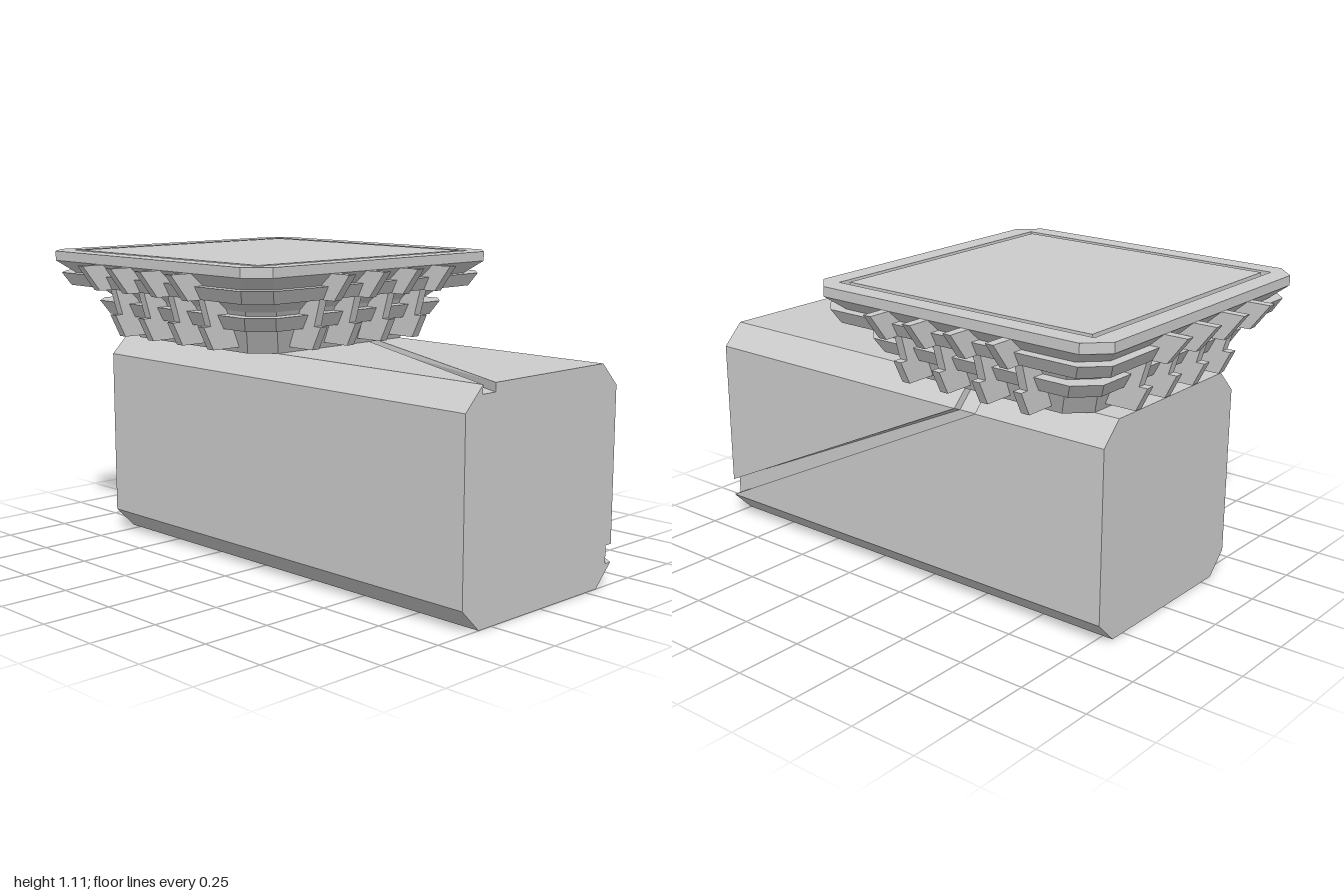
import * as THREE from 'three';

const material = new THREE.MeshStandardMaterial({ color: 0xcccccc, flatShading: true });

// Flat-shaded geometry from a list of four-cornered faces
function quadGeometry(quads) {
  const pos = [];
  for (const [a, b, c, d] of quads) pos.push(...a, ...b, ...c, ...a, ...c, ...d);
  const g = new THREE.BufferGeometry();
  g.setAttribute('position', new THREE.Float32BufferAttribute(pos, 3));
  g.computeVertexNormals();
  return g;
}

function addMesh(parent, name, geometry) {
  const m = new THREE.Mesh(geometry, material);
  m.name = name;
  parent.add(m);
  return m;
}

const shapeOf = (pts) => new THREE.Shape(pts.map(([x, y]) => new THREE.Vector2(x, y)));

// Chamfered block with a groove running diagonally over the left side and top
function buildBody(parent) {
  const front = 1, back = -0.79;
  const atZ = ([x, y], z) => [x, y, z];
  // Groove edges: P/p = rear edge (surface/floor), Q/q = front edge
  const P = [[0.39, 0.08, front], [0.39, 0.7, -0.26], [0.31, 0.78, -0.26], [-0.31, 0.78, front]];
  const p = [[0.36, 0.08, front], [0.36, 0.688, -0.26], [0.298, 0.75, -0.26], [-0.31, 0.75, front]];
  const Q = [[0.39, 0.145, front], [0.39, 0.7, -0.17], [0.31, 0.78, -0.17], [-0.25, 0.78, front]];
  const q = [[0.36, 0.145, front], [0.36, 0.688, -0.17], [0.298, 0.75, -0.17], [-0.25, 0.75, front]];

  const skin = [], groove = [];
  for (let k = 0; k < 3; k++) {
    const n = k + 1;
    skin.push([P[k], atZ(P[k], back), atZ(P[n], back), P[n]]);
    skin.push([Q[k], Q[n], atZ(Q[n], front), atZ(Q[k], front)]);
    groove.push([p[k], p[n], q[n], q[k]], [P[k], P[n], p[n], p[k]], [q[k], q[n], Q[n], Q[k]]);
  }
  // Plain right side and underside
  const rest = [[-0.31, 0.78], [-0.39, 0.7], [-0.39, 0.08], [-0.31, 0], [0.31, 0], [0.39, 0.08]];
  for (let k = 0; k < 5; k++) {
    const a = rest[k], b = rest[k + 1];
    skin.push([atZ(a, front), atZ(a, back), atZ(b, back), atZ(b, front)]);
  }
  addMesh(parent, 'bodySides', quadGeometry(skin));
  addMesh(parent, 'diagonalGroove', quadGeometry(groove));

  // End faces; the front one is notched where the groove runs out
  const notched = [
    [-0.31, 0], [0.31, 0], [0.39, 0.08], [0.36, 0.08], [0.36, 0.145], [0.39, 0.145], [0.39, 0.7],
    [0.31, 0.78], [-0.25, 0.78], [-0.25, 0.75], [-0.31, 0.75], [-0.31, 0.78], [-0.39, 0.7], [-0.39, 0.08],
  ];
  addMesh(parent, 'bodyFrontFace', new THREE.ShapeGeometry(shapeOf(notched))).position.z = front;
  const plain = [...rest, [0.39, 0.7], [0.31, 0.78]];
  const rear = addMesh(parent, 'bodyBackFace', new THREE.ShapeGeometry(shapeOf(plain)));
  rear.rotation.y = Math.PI;
  rear.position.z = back;
}

// Square ring with half width r and corners cut by c
function ring(r, y, c) {
  const s = r - c;
  return [[r, y, -s], [r, y, s], [s, y, r], [-s, y, r], [-r, y, s], [-r, y, -s], [-s, y, -r], [s, y, -r]];
}

function buildHead(parent) {
  const c = 0.075;
  // Half width, height, corner cut: flared neck, two bands, plate, inlaid line
  const profile = [
    [0, 0.78, 0], [0.385, 0.78, c], [0.422, 0.87, c], [0.463, 0.87, c], [0.49, 0.92, c], [0.443, 0.92, c],
    [0.45, 0.935, c], [0.497, 0.978, c], [0.565, 0.978, c], [0.59, 1.025, c], [0.553, 1.025, c],
    [0.605, 1.07, c], [0.605, 1.105, c], [0.53, 1.105, 0], [0.53, 1.085, 0], [0.505, 1.085, 0],
    [0.505, 1.105, 0], [0, 1.105, 0],
  ];
  const rings = profile.map((s) => ring(...s));
  const quads = [];
  for (let i = 0; i < rings.length - 1; i++) {
    for (let j = 0; j < 8; j++) {
      const n = (j + 1) % 8;
      quads.push([rings[i][j], rings[i + 1][j], rings[i + 1][n], rings[i][n]]);
    }
  }
  addMesh(parent, 'flaredHead', quadGeometry(quads));

  // Four stepped fins on each side
  const width = 0.033;
  const outline = [
    [0.38, 0.8], [0.51, 0.8], [0.552, 0.883], [0.52, 0.883], [0.548, 0.977], [0.618, 0.977],
    [0.69, 1.07], [0.59, 1.07], [0.44, 0.94],
  ];
  const finGeometry = new THREE.ExtrudeGeometry(shapeOf(outline), { depth: width, bevelEnabled: false });
  finGeometry.translate(0, 0, -width / 2);
  for (let side = 0; side < 4; side++) {
    const row = new THREE.Group();
    row.name = 'finRow';
    row.rotation.y = (side * Math.PI) / 2;
    for (let i = 0; i < 4; i++) {
      addMesh(row, 'fin', finGeometry).position.z = (i - 1.5) * 0.169 - 0.005;
    }
    parent.add(row);
  }
}

export function createModel() {
  const model = new THREE.Group();
  model.name = 'model';
  const body = new THREE.Group();
  body.name = 'body';
  buildBody(body);
  const head = new THREE.Group();
  head.name = 'head';
  head.position.z = -0.31;
  buildHead(head);
  model.add(body, head);
  return model;
}
